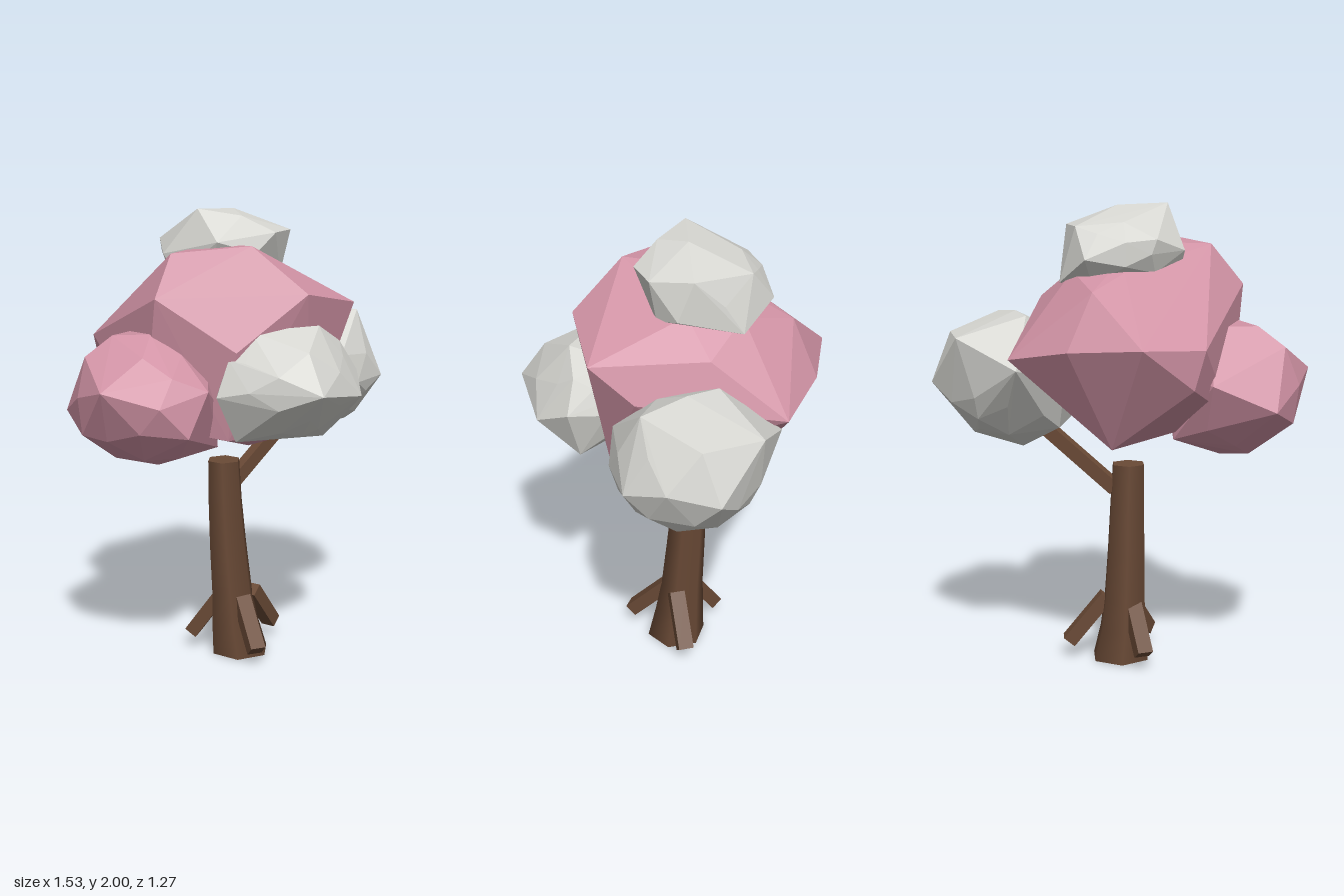
import * as THREE from 'three';
import { ConvexGeometry } from 'three/addons/geometries/ConvexGeometry.js';

const V = (p) => new THREE.Vector3(...p);

// Faceted leaf clump: the hull of an ellipsoid core and a few protruding corners
function leafClump(name, material, center, radii, corners) {
  const core = new THREE.IcosahedronGeometry(0.92, 1).scale(...radii).translate(...center);
  const pos = core.attributes.position;
  const seen = new Map();
  for (let i = 0; i < pos.count; i++) {
    const v = new THREE.Vector3().fromBufferAttribute(pos, i);
    seen.set(v.toArray().map((n) => n.toFixed(3)).join(), v);
  }
  const mesh = new THREE.Mesh(new ConvexGeometry([...seen.values(), ...corners.map(V)]), material);
  mesh.name = name;
  return mesh;
}

// Square beam running from a to b
function beam(name, material, a, b, width, depth) {
  const from = V(a), to = V(b);
  const mesh = new THREE.Mesh(new THREE.BoxGeometry(width, depth, from.distanceTo(to)), material);
  mesh.position.copy(from).lerp(to, 0.5);
  mesh.lookAt(to);
  mesh.name = name;
  return mesh;
}

// Six-sided, smoothly shaded trunk that narrows and leans along its rings [x, y, z, radius]
function trunkGeometry() {
  const rings = [
    [0.008, 0, -0.058, 0.133], [-0.012, 0.14, -0.068, 0.113], [-0.022, 0.28, -0.078, 0.098],
    [-0.036, 0.5, -0.09, 0.089], [-0.045, 0.7, -0.1, 0.081], [-0.052, 0.89, -0.1, 0.075],
  ];
  const geo = new THREE.CylinderGeometry(1, 1, 1, 6, rings.length - 1, false, Math.PI / 2);
  const pos = geo.attributes.position;
  for (let i = 0; i < pos.count; i++) {
    const [x, y, z, r] = rings[Math.round((pos.getY(i) + 0.5) * (rings.length - 1))];
    pos.setXYZ(i, x + pos.getX(i) * r, y, z + pos.getZ(i) * r);
  }
  return geo;
}

export function createModel() {
  const tree = new THREE.Group();
  tree.name = 'tree';
  const bark = new THREE.MeshStandardMaterial({ color: 0x6a4a36 });
  const pink = new THREE.MeshStandardMaterial({ color: 0xd092a4 });
  const pale = new THREE.MeshStandardMaterial({ color: 0xd6d6d1 });
  bark.name = 'bark brown';
  pink.name = 'blossom pink';
  pale.name = 'blossom pale grey';
  pink.flatShading = pale.flatShading = true;

  // Trunk, branch and roots
  const trunk = new THREE.Mesh(trunkGeometry(), bark);
  trunk.name = 'trunk';
  tree.add(trunk, beam('branch', bark, [0.0, 0.78, -0.12], [0.42, 1.13, -0.21], 0.05, 0.06));
  const roots = {
    frontRoot: [[-0.005, 0.265, -0.02], [-0.015, 0.073, 0.16]],
    leftRoot: [[0.07, 0.275, -0.075], [0.213, 0.073, -0.16]],
    rightRoot: [[-0.07, 0.26, -0.1], [-0.17, 0.073, -0.19]],
  };
  for (const [name, [a, b]] of Object.entries(roots)) tree.add(beam(name, bark, a, b, 0.068, 0.06));

  // Leaf clumps
  tree.add(
    leafClump('mainBlossom', pink, [-0.04, 1.43, -0.14], [0.42, 0.4, 0.46], [
      [0.12, 1.67, 0.36], [-0.06, 1.86, 0.2], [-0.36, 1.83, 0.06], [-0.47, 1.66, 0.15],
      [0.43, 1.6, 0.19], [0.42, 1.45, 0], [-0.54, 1.44, -0.4], [-0.49, 1.5, -0.1],
      [-0.36, 1.45, -0.6], [-0.05, 1.43, -0.64], [0.25, 1.38, -0.59], [-0.1, 1.66, -0.52],
      [-0.13, 1.01, -0.41], [0.22, 1.06, 0.18], [-0.05, 1.01, 0.15], [-0.2, 1.07, 0.27],
      [-0.2, 1.45, 0.35], [-0.1, 1.84, -0.12], [0.14, 1.75, -0.1],
      [-0.5, 1.28, -0.42], [-0.47, 1.11, 0.02],
    ]),
    leafClump('rightBlossom', pink, [-0.46, 1.22, 0.05], [0.3, 0.285, 0.32], [
      [-0.77, 1.26, 0.04], [-0.72, 1.42, 0.0], [-0.6, 1.5, 0.0], [-0.47, 1.51, 0.1],
      [-0.45, 1.5, -0.1], [-0.75, 1.1, 0.03], [-0.58, 0.97, -0.04], [-0.42, 0.94, 0.04],
      [-0.18, 1.01, 0.12], [-0.75, 1.17, -0.16], [-0.52, 1.28, -0.28], [-0.3, 1.03, -0.18],
      [-0.74, 1.31, 0.23], [-0.54, 1.25, 0.36], [-0.42, 1.12, 0.37], [-0.32, 1.3, 0.34],
      [-0.42, 1.02, 0.27],
    ]),
    leafClump('frontBlossom', pale, [0.05, 1.3, 0.3], [0.3, 0.24, 0.28], [
      [0.05, 1.3, 0.63], [-0.28, 1.27, 0.33], [-0.22, 1.42, 0.32], [-0.12, 1.53, 0.32],
      [0.17, 1.54, 0.36], [0.3, 1.46, 0.3], [0.385, 1.33, 0.3], [0.32, 1.25, 0.46],
      [0.3, 1.1, 0.28], [0.22, 1.06, 0.31], [-0.18, 1.07, 0.3], [0.06, 1.1, 0.43],
      [0.04, 1.46, 0.52], [-0.13, 1.3, 0.48],
    ]),
    leafClump('leftBlossom', pale, [0.46, 1.25, -0.23], [0.3, 0.3, 0.33], [
      [0.43, 1.54, -0.22], [0.6, 1.52, -0.08], [0.68, 1.45, -0.35], [0.76, 1.28, -0.23],
      [0.71, 1.22, -0.04], [0.58, 1.06, -0.05], [0.4, 0.95, -0.22], [0.23, 1.04, -0.2],
      [0.52, 1.22, 0.08], [0.43, 1.35, 0.09], [0.52, 1.45, -0.555], [0.72, 1.24, -0.44],
      [0.23, 1.33, -0.56], [0.45, 1.2, -0.53], [0.5, 1.05, -0.42],
      [0.26, 1.08, 0.01], [0.33, 1.49, -0.18], [0.32, 1.53, -0.32],
    ]),
    leafClump('topBlossom', pale, [-0.05, 1.8, -0.165], [0.26, 0.17, 0.27], [
      [-0.2, 2.0, -0.03], [0.0, 1.99, -0.1], [0.2, 1.91, -0.18], [0.22, 1.9, 0.0],
      [0.225, 1.74, -0.12], [0.18, 1.71, -0.02], [-0.32, 1.81, -0.12], [-0.27, 1.86, -0.28],
      [0.1, 1.9, 0.1], [-0.17, 1.87, 0.1], [0, 1.82, 0.12], [0.05, 1.91, -0.38],
      [-0.03, 1.78, -0.45], [0.13, 1.68, -0.37], [-0.03, 1.97, 0.04],
      [-0.28, 1.72, -0.08], [-0.02, 1.68, -0.37],
    ]),
  );
  return tree;
}
